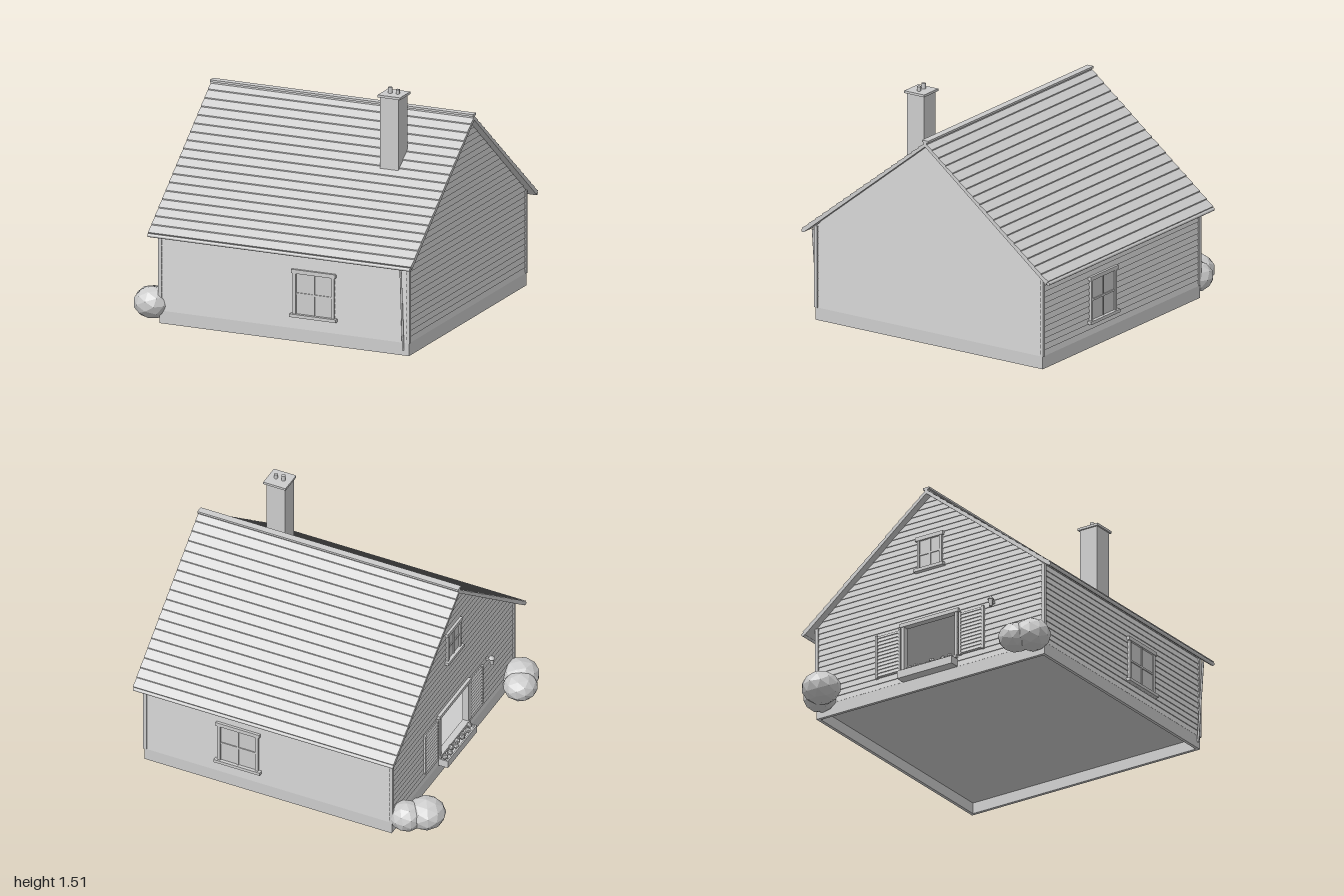
import * as THREE from 'three';

const CX = 0.1125, HX = 0.8275, HZ = 0.83;   // house centre and half sizes
const BASE = 0.08, APEX = 1.27, PITCH = 0.798, ROWS = 32;
const ROW = (APEX - BASE) / ROWS;

export function createModel() {
  const model = new THREE.Group();
  model.name = 'cottage';
  const plaster = new THREE.MeshStandardMaterial({ color: 0xcccccc, side: THREE.DoubleSide });
  plaster.name = 'light grey';

  const add = (parent, name, geo, x = 0, y = 0, z = 0) => {
    const mesh = new THREE.Mesh(geo, plaster);
    mesh.name = name;
    mesh.position.set(x, y, z);
    parent.add(mesh);
    return mesh;
  };
  // box given by its limits
  const box = (parent, name, x0, x1, y0, y1, z0, z1) =>
    add(parent, name, new THREE.BoxGeometry(x1 - x0, y1 - y0, z1 - z0),
      (x0 + x1) / 2, (y0 + y1) / 2, (z0 + z1) / 2);
  const group = (parent, name) => {
    const g = new THREE.Group();
    g.name = name;
    parent.add(g);
    return g;
  };

  // foundation ring, open below, with the floor on top
  const base = group(model, 'foundation');
  for (const s of [-1, 1]) {
    const x = CX + s * 0.8225, z = s * 0.825;
    box(base, 'foundationSide', x - 0.01, x + 0.01, 0, BASE, -0.835, 0.835);
    box(base, 'foundationLong', CX - 0.8125, CX + 0.8125, 0, BASE, z - 0.01, z + 0.01);
  }
  box(base, 'floor', CX - 0.82, CX + 0.82, 0.07, BASE, -0.825, 0.825);

  // lapped boards: a slanted face with a lip below, optionally with an opening
  const siding = (halfWidth, top, hole) => {
    const pos = [];
    const quad = (a, b, c, d) => pos.push(...a, ...b, ...c, ...a, ...c, ...d);
    for (let i = 0; i < ROWS; i++) {
      const y0 = BASE + i * ROW, y1 = Math.min(y0 + ROW, top);
      if (y0 >= top) break;
      const a = halfWidth(y0), b = halfWidth(y1);
      const cut = hole && i >= hole.from && i < hole.to;
      const spans = cut ? [[-a, -hole.half, -b, -hole.half], [hole.half, a, hole.half, b]] : [[-a, a, -b, b]];
      for (const [l0, r0, l1, r1] of spans) {
        quad([l0, y0, 0.006], [r0, y0, 0.006], [r1, y1, 0], [l1, y1, 0]);
        quad([l0, y0, 0], [r0, y0, 0], [r0, y0, 0.006], [l0, y0, 0.006]);
      }
    }
    const geo = new THREE.BufferGeometry();
    geo.setAttribute('position', new THREE.Float32BufferAttribute(pos, 3));
    geo.computeVertexNormals();
    return geo;
  };

  // each wall group faces its own +z
  const wall = (name, x, z, turn, geo) => {
    const g = group(model, name);
    g.position.set(x, 0, z);
    g.rotation.y = turn;
    add(g, 'siding', geo);
    return g;
  };
  const gableWidth = y => Math.max(0, Math.min(HZ, (APEX - y) / PITCH));
  const front = wall('frontWall', CX, HZ, 0, siding(() => HX, 0.61));
  const back = wall('backWall', CX, -HZ, Math.PI, siding(() => HX, 0.61));
  wall('leftGable', CX + HX, 0, Math.PI / 2, siding(gableWidth, APEX));
  const gable = wall('rightGable', CX - HX, 0, -Math.PI / 2,
    siding(gableWidth, APEX, { from: 2, to: 10, half: 0.19 }));

  // corner boards
  for (const sx of [-1, 1]) for (const sz of [-1, 1]) {
    const x = CX + sx * 0.828, z = sz * 0.83;
    box(model, 'cornerBoard', x - 0.011, x + 0.011, BASE, 0.6, z - 0.011, z + 0.011);
  }

  // framed window with a cross of glazing bars
  const addWindow = (parent, u, y0, y1, half, edge) => {
    const g = group(parent, 'window');
    g.position.x = u;
    box(g, 'pane', -half, half, y0, y1, 0, 0.008);
    for (const s of [-1, 1]) {
      const x = s * (half - edge / 2);
      box(g, 'jamb', x - edge / 2, x + edge / 2, y0, y1, 0, 0.018);
    }
    box(g, 'mullion', -0.006, 0.006, y0, y1, 0, 0.014);
    box(g, 'glazingBar', -half, half, (y0 + y1) / 2 - 0.006, (y0 + y1) / 2 + 0.006, 0, 0.014);
    box(g, 'head', -half - 0.01, half + 0.01, y1, y1 + 0.025, 0, 0.022);
    box(g, 'sill', -half - 0.018, half + 0.018, y0 - 0.02, y0, 0, 0.03);
  };
  addWindow(front, 0.2, 0.175, 0.43, 0.137, 0.02);
  addWindow(back, -0.2, 0.175, 0.43, 0.137, 0.02);
  addWindow(gable, 0, 0.8, 0.985, 0.09, 0.016);

  // open gable window with its surround
  const opening = group(gable, 'openWindow');
  const top = BASE + 10 * ROW, bottom = BASE + 2 * ROW;
  for (const s of [-1, 1]) box(opening, 'jamb', s * 0.195 - 0.01, s * 0.195 + 0.01, bottom, top, -0.02, 0.018);
  box(opening, 'head', -0.215, 0.215, top - 0.012, top + 0.012, -0.02, 0.024);
  box(opening, 'sill', -0.2, 0.2, bottom - 0.018, bottom, -0.02, 0.024);

  // slatted shutters
  for (const s of [-1, 1]) {
    const g = group(gable, 'shutter');
    g.position.x = s * 0.305;
    box(g, 'shutterPanel', -0.09, 0.09, 0.155, 0.43, 0, 0.01);
    for (const e of [-1, 1]) box(g, 'shutterStile', e * 0.084 - 0.008, e * 0.084 + 0.008, 0.15, 0.435, 0, 0.017);
    for (let i = 0; i < 12; i++) {
      const slat = add(g, 'slat', new THREE.BoxGeometry(0.155, 0.018, 0.004), 0, 0.166 + i * 0.0232, 0.012);
      slat.rotation.x = -0.4;
    }
  }

  // flower box, hollow on top, with small plants
  const planter = group(gable, 'flowerBox');
  box(planter, 'planterBottom', -0.2, 0.2, 0.08, 0.115, 0.006, 0.07);
  box(planter, 'planterFront', -0.2, 0.2, 0.08, 0.13, 0.06, 0.07);
  for (const s of [-1, 1]) box(planter, 'planterEnd', s * 0.195 - 0.005, s * 0.195 + 0.005, 0.08, 0.13, 0.006, 0.07);
  for (let i = 0; i < 9; i++) {
    const bloom = add(planter, 'flower', new THREE.IcosahedronGeometry(0.02, 0),
      -0.165 + i * 0.041, 0.132 + (i % 3) * 0.007, 0.035 + (i % 2) * 0.012);
    bloom.rotation.set(i, i * 2, 0);
  }

  // wall lantern
  const lamp = group(gable, 'wallLamp');
  lamp.position.x = 0.465;
  box(lamp, 'lampBracket', -0.008, 0.008, 0.425, 0.44, 0, 0.04);
  add(lamp, 'lampBody', new THREE.CylinderGeometry(0.014, 0.01, 0.045, 8), 0, 0.423, 0.038);
  add(lamp, 'lampHood', new THREE.CylinderGeometry(0.006, 0.021, 0.022, 8), 0, 0.456, 0.038);

  // roof slopes with overlapping courses
  const roof = group(model, 'roof');
  const line = z => 1.3 - z * 0.79;
  const COURSES = 18, EAVE = 0.905;
  for (const s of [-1, 1]) {
    const shape = new THREE.Shape();
    shape.moveTo(0, APEX);
    for (let i = 0; i < COURSES; i++) {
      const a = i * EAVE / COURSES, b = (i + 1) * EAVE / COURSES;
      shape.lineTo(s * a, line(a) - 0.007);
      shape.lineTo(s * b, line(b));
    }
    shape.lineTo(s * 0.888, APEX - 0.888 * PITCH);
    const geo = new THREE.ExtrudeGeometry(shape, { depth: 1.755, bevelEnabled: false });
    geo.rotateY(-Math.PI / 2);
    add(roof, 'roofSlope', geo, 0.99);
    const gutter = add(roof, 'gutter', new THREE.CylinderGeometry(0.011, 0.011, 1.75, 10), 0.11, 0.566, s * 0.902);
    gutter.rotation.z = Math.PI / 2;
  }
  box(roof, 'ridgeCap', -0.765, 0.99, 1.297, 1.31, -0.023, 0.023);
  box(roof, 'ridgeBeam', -0.765, 0.99, 1.275, 1.298, -0.012, 0.012);

  // chimney
  const chimney = group(model, 'chimney');
  box(chimney, 'chimneyStack', 0.53, 0.655, 0.99, 1.457, 0.24, 0.365);
  box(chimney, 'chimneyCap', 0.52, 0.67, 1.455, 1.47, 0.228, 0.375);
  add(chimney, 'chimneyPot', new THREE.CylinderGeometry(0.013, 0.013, 0.04, 12), 0.57, 1.486, 0.301);
  add(chimney, 'chimneyPot', new THREE.CylinderGeometry(0.012, 0.012, 0.032, 12), 0.62, 1.482, 0.301);

  // slanted downpipe
  const pipe = new THREE.LineCurve3(new THREE.Vector3(0.91, 0.56, 0.88), new THREE.Vector3(0.91, 0.035, 0.843));
  add(model, 'downpipe', new THREE.TubeGeometry(pipe, 1, 0.007, 8));

  // faceted bushes: x, y, z, radius, height
  const bushes = group(model, 'bushes');
  [[-0.88, 0.112, -0.69, 0.122, 0.1], [-0.785, 0.108, -0.765, 0.105, 0.095],
    [-0.787, 0.112, 0.79, 0.118, 0.1], [-0.83, 0.1, 0.70, 0.108, 0.088]].forEach(([x, y, z, r, h], i) => {
    const geo = new THREE.IcosahedronGeometry(1, 1);
    geo.rotateY(i * 1.3);
    geo.scale(r, h, r);
    geo.computeVertexNormals();
    add(bushes, 'bush', geo, x, y, z);
  });

  return model;
}
